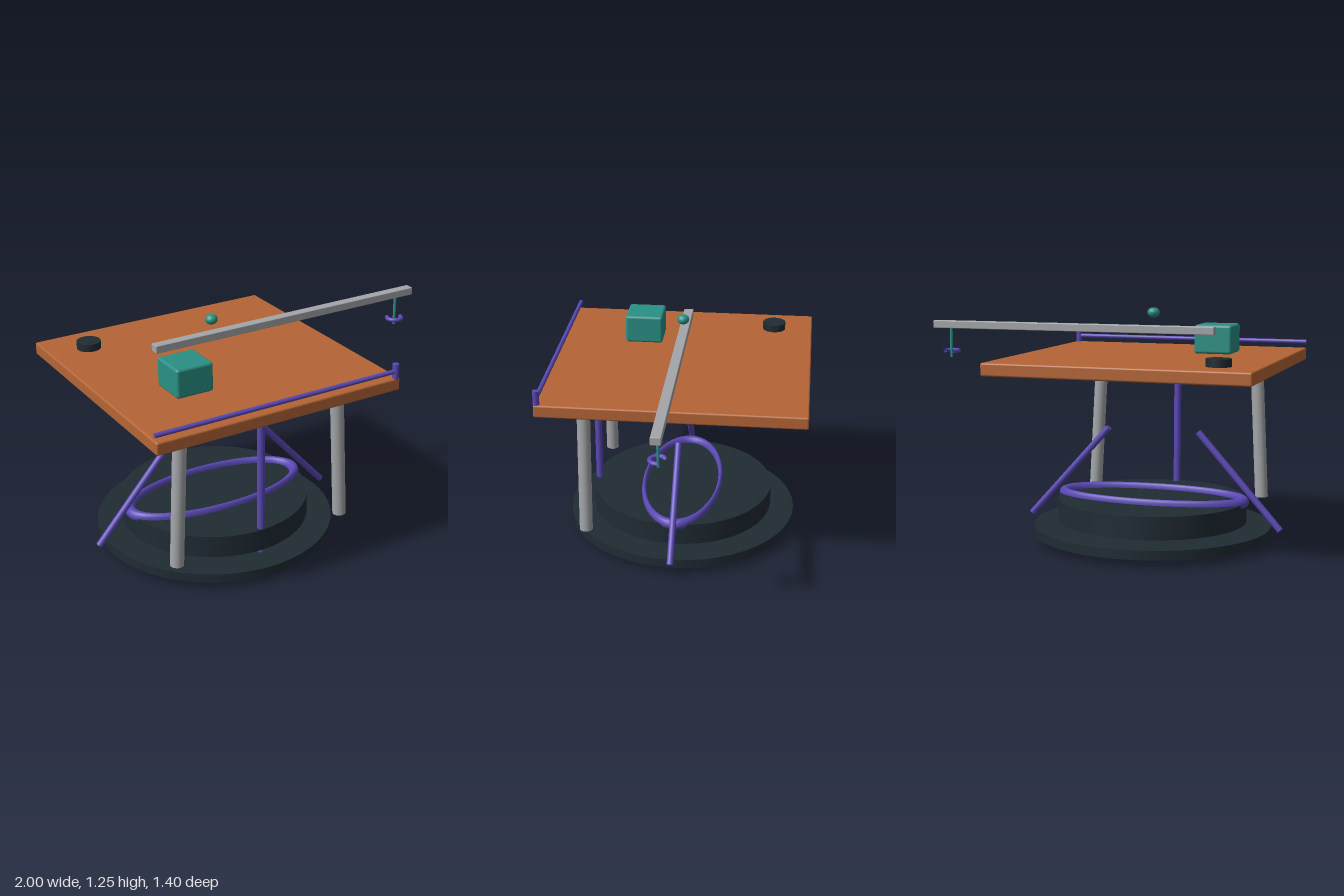
import * as THREE from 'three';
import { RoundedBoxGeometry } from 'three/addons/geometries/RoundedBoxGeometry.js';

const material = (name, color, extra = {}) => {
  const m = new THREE.MeshStandardMaterial({ color, ...extra });
  m.name = name;
  return m;
};

export function createModel() {
  const model = new THREE.Group();
  model.name = 'platformTable';
  const wood = material('orange wood', 0xb56535);
  const steel = material('grey steel', 0xa3a6a9);
  const dark = material('dark slate', 0x1f2b33);
  const purple = material('purple', 0x5a48b4, { side: THREE.DoubleSide });
  const teal = material('teal', 0x2a9085);
  const CX = -0.285; // axis of the base and deck

  const add = (name, geometry, mat, x = 0, y = 0, z = 0) => {
    const mesh = new THREE.Mesh(geometry, mat);
    mesh.name = name;
    mesh.position.set(x, y, z);
    model.add(mesh);
    return mesh;
  };
  const disc = (name, r, y0, y1, mat, x, z = 0, sides = 48) =>
    add(name, new THREE.CylinderGeometry(r, r, y1 - y0, sides), mat, x, (y0 + y1) / 2, z);
  // Round bar between two points
  const bar = (name, a, b, r, mat) => {
    const from = new THREE.Vector3(...a), to = new THREE.Vector3(...b);
    const dir = to.clone().sub(from);
    const mid = from.add(to).multiplyScalar(0.5);
    const mesh = add(name, new THREE.CylinderGeometry(r, r, dir.length(), 20), mat, mid.x, mid.y, mid.z);
    mesh.quaternion.setFromUnitVectors(new THREE.Vector3(0, 1, 0), dir.normalize());
    return mesh;
  };

  // Stepped round base with an oval ring set into its top
  disc('baseDisc', 0.64, 0.04, 0.09, dark, CX);
  disc('upperDisc', 0.507, 0.11, 0.23, dark, CX);
  const ring = new THREE.TorusGeometry(0.5, 0.03, 14, 72);
  ring.rotateX(Math.PI / 2);
  ring.scale(1, 1, 0.43);
  add('ovalRing', ring, purple, CX, 0.232, 0);

  // Two front legs and two side struts, mirrored about the base axis
  for (const s of [-1, 1]) {
    bar('leg', [CX + s * 0.495, 0.17, 0.483], [CX + s * 0.455, 0.94, 0.483], 0.036, steel);
    bar('sideStrut', [CX + s * 0.7, 0.095, 0], [CX + s * 0.25, 0.597, 0], 0.018, purple);
  }
  bar('centreStrut', [CX, 0, 0.483], [CX, 0.88, 0.483], 0.02, purple);

  // Deck with front rail
  add('deck', new RoundedBoxGeometry(1.385, 0.068, 1.4, 3, 0.01), wood, CX, 0.966, 0);
  bar('frontRail', [-0.978, 1.034, 0.685], [0.4, 1.034, 0.685], 0.012, purple);
  bar('railPost', [0.387, 0.99, 0.685], [0.387, 1.076, 0.685], 0.017, purple);

  // Items on the deck
  add('tealBox', new RoundedBoxGeometry(0.205, 0.155, 0.208, 3, 0.015), teal, -0.573, 1.077, 0.24);
  disc('darkPuck', 0.064, 1.0, 1.04, dark, -0.762, -0.482, 32);
  const ball = add('ball', new THREE.SphereGeometry(0.033, 24, 16), teal, CX, 1.225, 0);
  ball.scale.y = 0.82;

  // Long arm with hanging line and hook
  add('arm', new RoundedBoxGeometry(1.62, 0.042, 0.052, 2, 0.004), steel, 0.19, 1.135, 0);
  bar('hookLine', [0.9, 0.95, 0], [0.9, 1.118, 0], 0.008, teal);
  const hook = new THREE.TorusGeometry(0.04, 0.012, 12, 32, Math.PI * 1.25);
  hook.rotateX(Math.PI / 2);
  add('hook', hook, purple, 0.9, 0.987, 0);

  return model;
}
